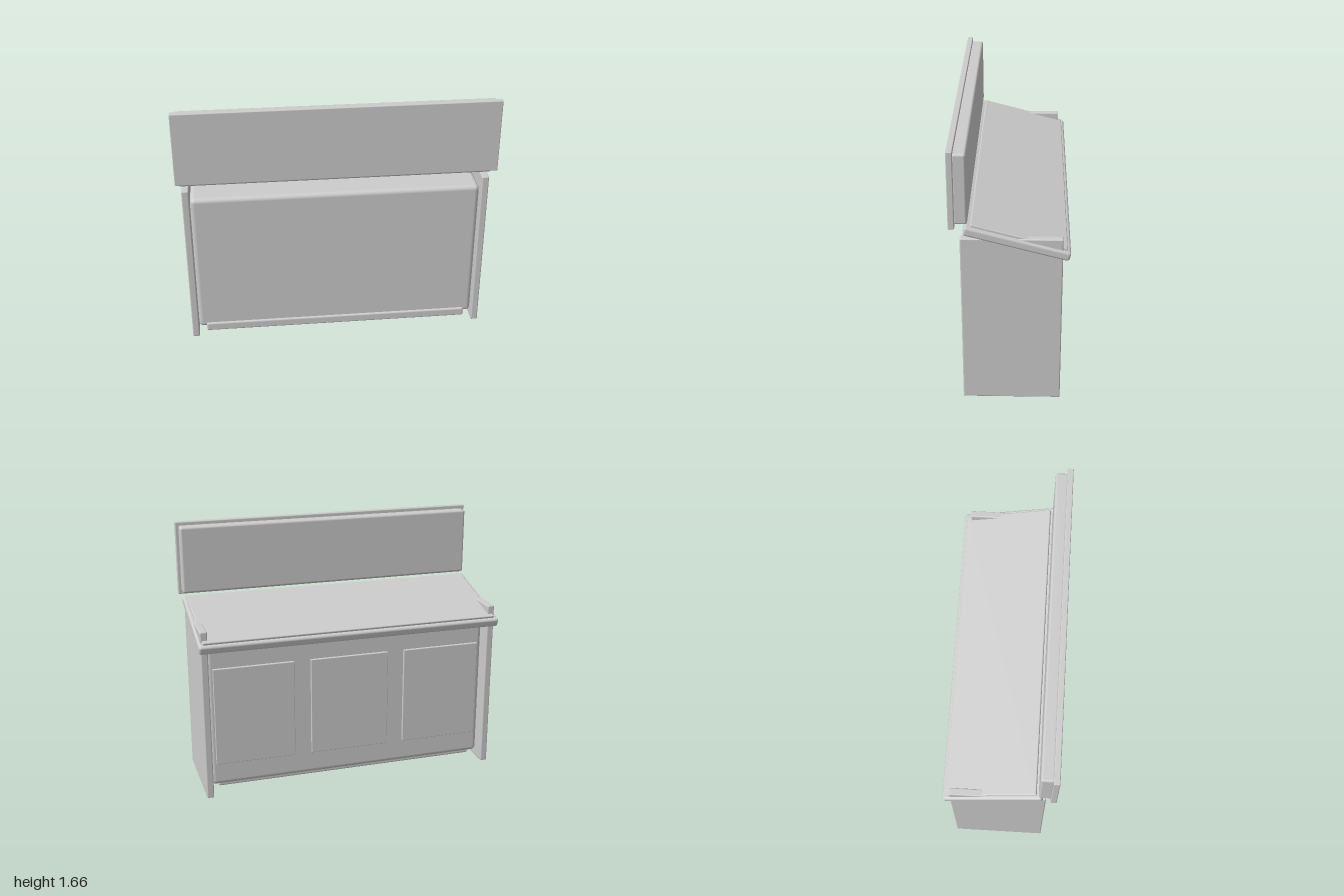
import * as THREE from 'three';
import { RoundedBoxGeometry } from 'three/addons/geometries/RoundedBoxGeometry.js';

const grey = new THREE.MeshStandardMaterial({ color: 0xcccccc });
grey.name = 'light grey';

// Rounded box given by its extents: x, y and z as [min, max]
function block(name, x, y, z, radius) {
  const size = [x, y, z].map(([a, b]) => b - a);
  const mesh = new THREE.Mesh(new RoundedBoxGeometry(...size, 3, radius), grey);
  mesh.name = name;
  mesh.position.set(...[x, y, z].map(([a, b]) => (a + b) / 2));
  return mesh;
}

export function createModel() {
  const model = new THREE.Group();
  model.name = 'counter';

  // Cabinet body and the plinth under it
  model.add(block('body', [-0.925, 0.925], [0.05, 1.03], [-0.22, 0.25], 0.03));
  model.add(block('plinth', [-0.875, 0.875], [0.025, 0.085], [-0.19, 0.262], 0.012));

  // End panels, poking up through the sloping top
  for (const [side, s] of [['left', 1], ['right', -1]]) {
    const x = s > 0 ? [0.925, 0.97] : [-0.97, -0.925];
    model.add(block(side + 'EndPanel', x, [0.005, 1.115], [-0.3, 0.29], 0.008));
  }

  // Three raised panels on the back
  for (const x of [-0.63, 0, 0.63]) {
    model.add(block('backPanel', [x - 0.26, x + 0.26], [0.2, 0.845], [-0.237, -0.21], 0.004));
  }

  // Sloping top with a thin raised surface
  const top = new THREE.Group();
  top.name = 'slopingTop';
  top.add(block('topSlab', [-0.985, 0.985], [-0.0275, 0.0275], [-0.315, 0.315], 0.015));
  top.add(block('topSurface', [-0.96, 0.96], [0, 0.042], [-0.29, 0.284], 0.007));
  top.position.set(0, 1.088, -0.036);
  top.rotation.x = -THREE.MathUtils.degToRad(15);
  model.add(top);

  // Upright sign board, with a thicker block behind it
  model.add(block('frontBoard', [-1, 1], [1.19, 1.665], [0.315, 0.352], 0.006));
  model.add(block('boardBacking', [-0.98, 0.98], [1.21, 1.643], [0.243, 0.325], 0.015));

  return model;
}
